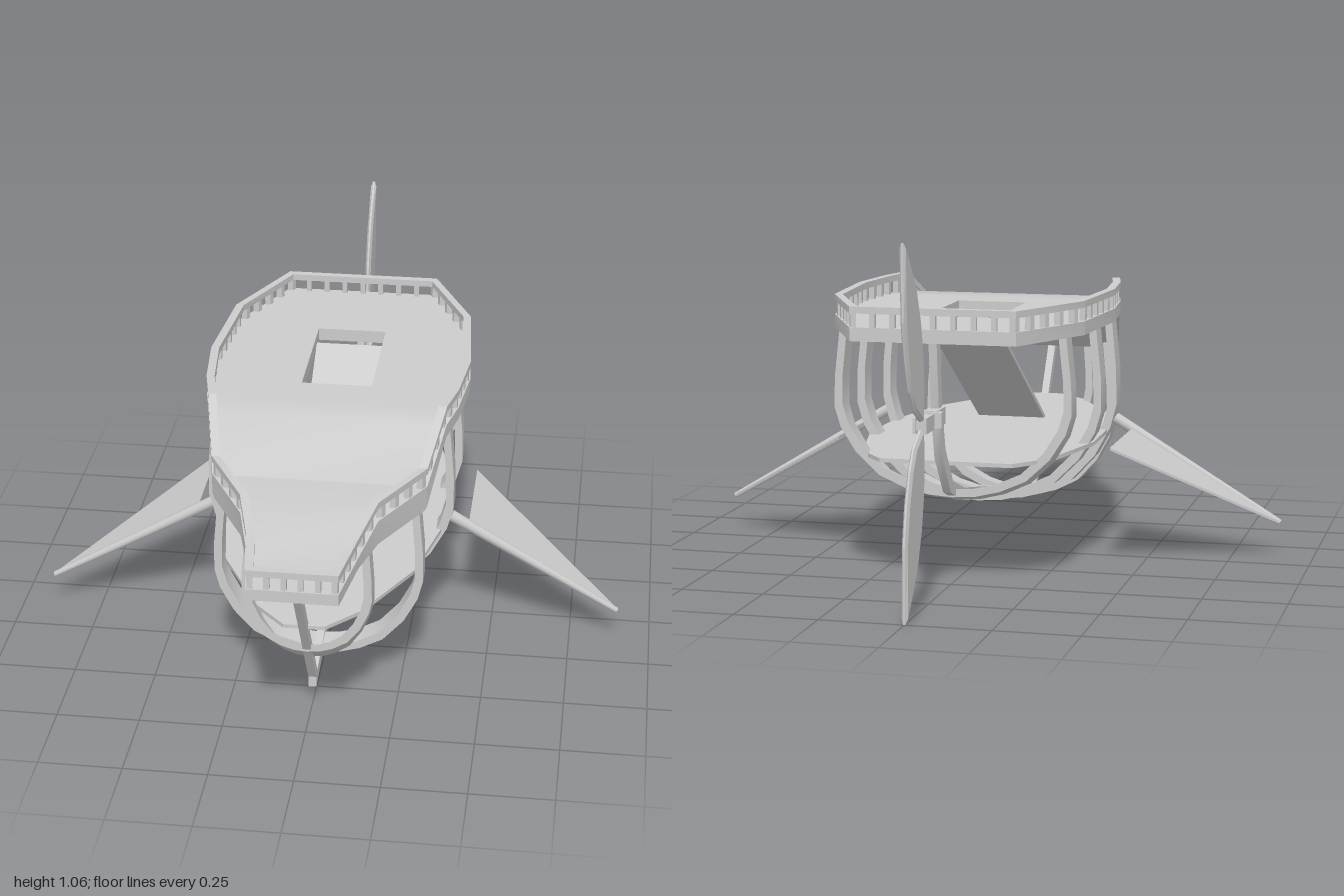
import * as THREE from 'three';
import { mergeGeometries, toCreasedNormals } from 'three/addons/utils/BufferGeometryUtils.js';

const material = new THREE.MeshStandardMaterial({ color: 0xcccccc, side: THREE.DoubleSide });

// Linear interpolation in a list of [z, value] pairs with falling z.
function at(table, z) {
  for (let i = 0; i < table.length - 1; i++) {
    const [z0, a] = table[i], [z1, b] = table[i + 1];
    if (z <= z0 && z >= z1) return a + (b - a) * (z0 - z) / (z0 - z1);
  }
  return table[z > table[0][0] ? 0 : table.length - 1][1];
}

// Deck half width, top and underside along the ship.
const halfWidth = [[1, 0.13], [0.79, 0.16], [0.645, 0.2], [0.42, 0.32], [0.12, 0.385], [-0.08, 0.405], [-0.41, 0.38], [-0.7, 0.245]];
const deckTop = [[1, 0.635], [0.79, 0.635], [0.645, 0.675], [0.42, 0.675], [0.24, 0.79], [-0.7, 0.79]];
const deckBottom = [[1, 0.6], [0.43, 0.6], [0.24, 0.75], [-0.7, 0.75]];
const stations = [1, 0.79, 0.645, 0.43, 0.42, 0.24, 0.12, 0.01, -0.08, -0.39, -0.41, -0.7];

// Six-sided solid: four corners around one face, then the four opposite ones.
function hex(...p) {
  const v = p.map((q) => new THREE.Vector3(...q));
  const e = (i) => v[i].clone().sub(v[0]);
  if (e(1).cross(e(3)).dot(e(4)) < 0) v.push(...v.splice(0, 4));
  const pos = [];
  for (const [a, b, c, d] of [[0, 3, 2, 1], [4, 5, 6, 7], [0, 1, 5, 4], [1, 2, 6, 5], [2, 3, 7, 6], [3, 0, 4, 7]])
    for (const i of [a, b, c, a, c, d]) pos.push(v[i].x, v[i].y, v[i].z);
  const g = new THREE.BufferGeometry();
  g.setAttribute('position', new THREE.Float32BufferAttribute(pos, 3));
  g.computeVertexNormals();
  return g;
}

// Slab between z0 and z1, given x range and y range as functions of z.
function slab(z0, z1, xa, xb, ya, yb) {
  const ring = (z) => [[xa(z), ya(z), z], [xb(z), ya(z), z], [xb(z), yb(z), z], [xa(z), yb(z), z]];
  return hex(...ring(z0), ...ring(z1));
}

function box(w, h, d, x, y, z) {
  return slab(z + d / 2, z - d / 2, () => x - w / 2, () => x + w / 2, () => y - h / 2, () => y + h / 2);
}

function add(group, name, parts, crease = 0.5) {
  const mesh = new THREE.Mesh(toCreasedNormals(mergeGeometries(parts), crease), material);
  mesh.name = name;
  group.add(mesh);
}

// Plate drawn in the z-y plane, centred on x = 0.
function sidePlate(points, width, bevel = 0) {
  const shape = new THREE.Shape(points.map(([z, y]) => new THREE.Vector2(z, y)));
  const g = new THREE.ExtrudeGeometry(shape, {
    depth: width - 2 * bevel, bevelEnabled: bevel > 0, bevelThickness: bevel,
    bevelSize: 0.012, bevelOffset: -0.012, bevelSegments: 1,
  });
  g.translate(0, 0, bevel - width / 2).rotateY(-Math.PI / 2);
  return g;
}

const w = (z) => at(halfWidth, z), top = (z) => at(deckTop, z), bottom = (z) => at(deckBottom, z);

function buildDeck(group) {
  const parts = [];
  for (let i = 0; i < stations.length - 1; i++) {
    const [a, b] = [stations[i], stations[i + 1]];
    // Stair opening splits the deck into two side strips
    if (a <= 0.01 && b >= -0.39) {
      for (const s of [-1, 1]) parts.push(slab(a, b, () => s * 0.108, (z) => s * w(z), bottom, top));
    } else parts.push(slab(a, b, (z) => -w(z), w, bottom, top));
  }
  add(group, 'deck', parts, 0.75);
}

function buildRailing(group) {
  const rails = [], posts = [], t = 0.025;
  const railY = (z) => top(z) + 0.06, under = (z) => top(z) + 0.04;
  for (let i = 0; i < stations.length - 1; i++)
    for (const s of [-1, 1])
      rails.push(slab(stations[i], stations[i + 1], (z) => s * (w(z) - t), (z) => s * w(z), under, railY));
  for (let i = 0; i <= 27; i++) {
    const z = 0.988 - i * 1.676 / 27;
    for (const s of [-1, 1])
      posts.push(slab(z + 0.008, z - 0.008, (q) => s * (w(q) - 0.021), (q) => s * (w(q) - 0.004), (q) => top(q) - 0.005, (q) => under(q) + 0.005));
  }
  // Bow and stern ends
  for (const [z, n] of [[0.9875, 5], [-0.6875, 8]]) {
    const x = w(z) - 0.012;
    rails.push(box(2 * x, 0.02, t, 0, top(z) + 0.05, z));
    for (let i = 1; i < n; i++) posts.push(box(0.016, 0.05, 0.016, -x + 2 * x * i / n, top(z) + 0.02, z));
  }
  add(group, 'handrail', rails);
  add(group, 'balusters', posts);
}

// Ribs: z, half width, bottom y at the fore and aft edges.
const ribs = [[0.675, 0.19, 0.26, 0.2], [0.42, 0.315, 0.1, 0.105], [0.125, 0.38, 0.145, 0.15], [-0.14, 0.385, 0.19, 0.195], [-0.45, 0.36, 0.245, 0.265]];
const ribCurve = [[0, 0], [0.2, 0.01], [0.4, 0.045], [0.62, 0.115], [0.82, 0.25], [0.95, 0.4], [1, 0.52], [0.995, 0.7], [0.95, 1]];

function buildRibs(group) {
  for (const [z, width, foreY, aftY] of ribs) {
    const point = ([u, v], s, y0, inset, zz) => {
      const low = y0 + inset, high = bottom(z) + 0.01;
      return [s * u * (width - inset), low + (high - low) * v, zz];
    };
    const parts = [];
    for (let i = 0; i < ribCurve.length - 1; i++)
      for (const s of [-1, 1]) {
        const end = (c) => [[0, foreY, 0.035], [0.024, foreY, 0.035], [0.024, aftY, -0.035], [0, aftY, -0.035]]
          .map(([inset, y, dz]) => point(c, s, y, inset, z + dz));
        parts.push(hex(...end(ribCurve[i]), ...end(ribCurve[i + 1])));
      }
    add(group, 'rib', parts, 0.6);
  }
}

function buildHold(group) {
  // Floor inside the ribs
  const floor = [[0.77, 0.06], [0.675, 0.15], [0.42, 0.285], [0.125, 0.35], [-0.14, 0.355], [-0.45, 0.285], [-0.56, 0.2]];
  const half = (z) => at(floor, z), parts = [];
  for (let i = 0; i < floor.length - 1; i++)
    parts.push(slab(floor[i][0], floor[i + 1][0], (z) => -half(z), half, () => 0.375, () => 0.387));
  add(group, 'lowerFloor', parts);

  // Ramp up to the deck opening
  const slope = (z) => 0.385 + (0.28 - z) * 0.37 / 0.62;
  add(group, 'ramp', [slab(0.28, -0.34, () => -0.108, () => 0.108, (z) => slope(z) - 0.008, (z) => slope(z) + 0.008)]);
}

function buildKeel(group) {
  add(group, 'keel', [sidePlate([
    [0.94, 0.605], [0.57, 0.11], [-0.38, 0.275], [-0.515, 0.32], [-0.6, 0.43], [-0.635, 0.56], [-0.655, 0.76],
    [-0.695, 0.76], [-0.672, 0.56], [-0.635, 0.41], [-0.54, 0.29], [-0.4, 0.24], [0.595, 0.065], [0.595, 0.1], [0.905 + 0.07, 0.605],
  ].map(([z, y]) => [y > 0.6 && z > 0.9 ? z - 0.035 : z, y]), 0.024)]);
}

function buildPropeller(group) {
  const y = 0.535;
  add(group, 'propellerMount', [
    box(0.04, 0.05, 0.09, 0, y, -0.675),
    box(0.07, 0.045, 0.03, 0, y, -0.715),
    box(0.03, 0.035, 0.07, 0, y, -0.75),
    box(0.008, 0.045, 0.08, 0.016, y, -0.795),
    box(0.008, 0.045, 0.08, -0.016, y, -0.795),
    box(0.035, 0.025, 0.02, 0, y, -0.82),
  ]);
  const blade = [[-0.815, 0], [-0.805, 0.05], [-0.802, 0.12], [-0.812, 0.21], [-0.835, 0.3], [-0.88, 0.4], [-0.94, 0.475],
    [-1, 0.53], [-1, 0.31], [-0.975, 0.2], [-0.94, 0.11], [-0.9, 0.052], [-0.83, 0.012]];
  for (const s of [1, -1])
    add(group, 'propellerBlade', [sidePlate(blade.map(([z, r]) => [z, y + s * r]), 0.018, 0.006)], 0.2);
}

function buildFins(group) {
  for (const s of [-1, 1]) {
    // Tapered spar running out and down
    const root = new THREE.Vector3(s * 0.37, 0.42, 0.125), tip = new THREE.Vector3(s * 0.895, 0.112, 0.118);
    const dir = tip.clone().sub(root);
    const spar = new THREE.Mesh(new THREE.CylinderGeometry(0.009, 0.018, dir.length(), 10), material);
    spar.position.copy(root).add(tip).multiplyScalar(0.5);
    spar.quaternion.setFromUnitVectors(new THREE.Vector3(0, 1, 0), dir.normalize());
    spar.name = 'finSpar';
    group.add(spar);

    // Thin triangular sail trailing the spar
    const face = (d) => [[s * 0.425, 0.385 + d, 0.118], [s * 0.425, 0.385 + d, -0.24], [s * 0.89, 0.115 + d, 0.108], [s * 0.89, 0.115 + d, 0.118]];
    add(group, 'finSail', [hex(...face(-0.004), ...face(0.004))]);
  }
}

export function createModel() {
  const ship = new THREE.Group();
  ship.name = 'airship';
  for (const build of [buildDeck, buildRailing, buildRibs, buildHold, buildKeel, buildPropeller, buildFins]) build(ship);
  return ship;
}
